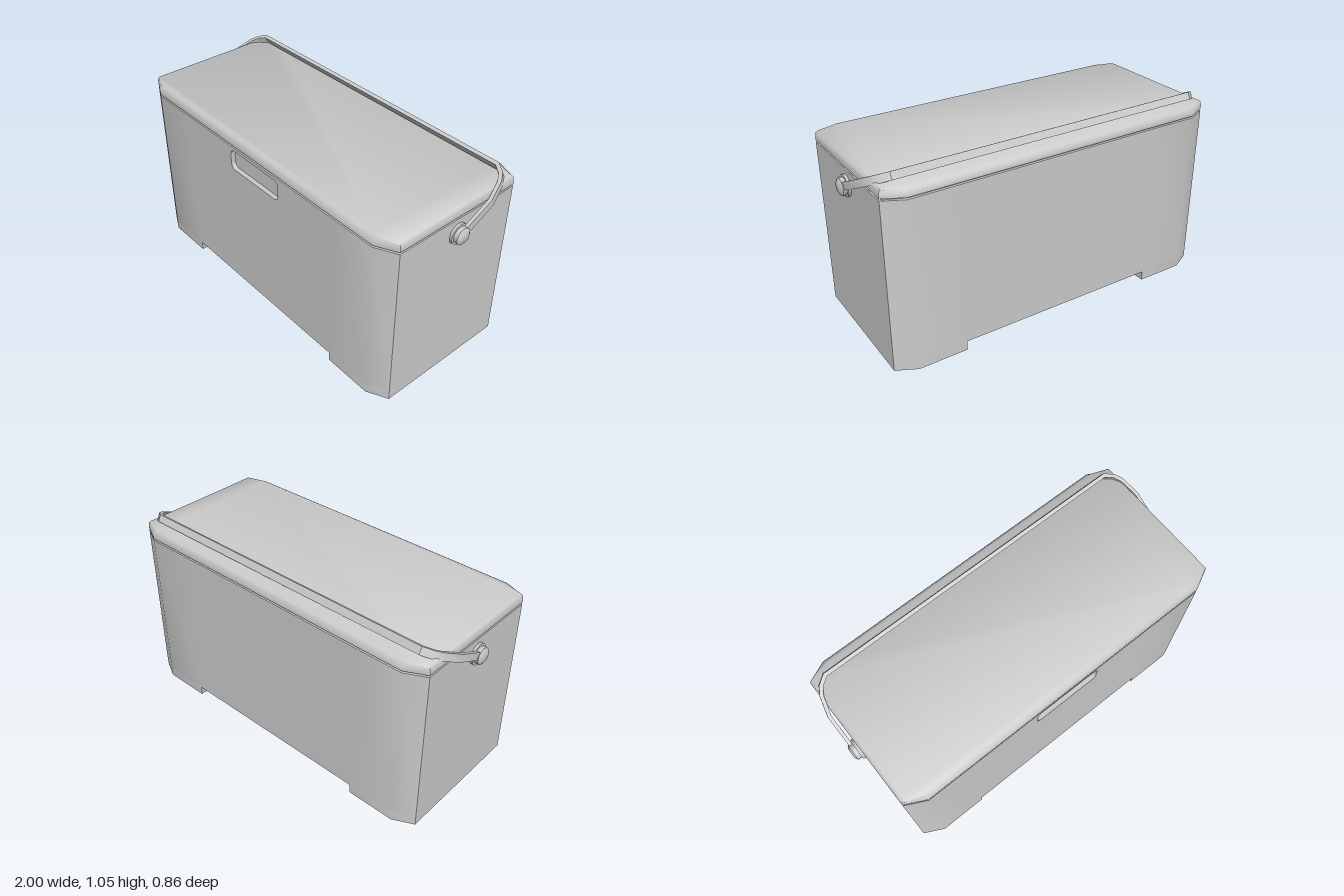
import * as THREE from 'three';
import { toCreasedNormals } from 'three/addons/utils/BufferGeometryUtils.js';

const material = new THREE.MeshStandardMaterial({ color: 0xcccccc });

function addMesh(parent, name, geometry, crease = 0.6) {
  const mesh = new THREE.Mesh(toCreasedNormals(geometry, crease), material);
  mesh.name = name;
  parent.add(mesh);
  return mesh;
}

const toShape = (points) => new THREE.Shape(points.map(([x, y]) => new THREE.Vector2(x, y)));

// Extrude a plan outline given as [x, z] upwards from y0 to y1
function extrudePlan(points, y0, y1) {
  const shape = toShape(points.map(([x, z]) => [x, -z]));
  return new THREE.ExtrudeGeometry(shape, { depth: y1 - y0, bevelEnabled: false })
    .rotateX(-Math.PI / 2).translate(0, y0, 0);
}

function roundedPath(w, h, r) {
  const path = new THREE.Path();
  [[1, 1, 0], [-1, 1, 1], [-1, -1, 2], [1, -1, 3]].forEach(([sx, sy, q]) =>
    path.absarc(sx * (w / 2 - r), sy * (h / 2 - r), r, q * Math.PI / 2, (q + 1) * Math.PI / 2));
  return path;
}

// Octagonal plan: half width, half depth, corner starts
const octagon = (hx, hz, cx, cz) => [
  [cx, hz], [hx, cz], [hx, -cz], [cx, -hz], [-cx, -hz], [-hx, -cz], [-hx, cz], [-cx, hz],
];

// Stack of octagonal rings [y, hx, hz, cx, cz], capped at both ends
function loftRings(rings) {
  const pos = [], idx = [], n = 8;
  rings.forEach(([y, ...dims]) => octagon(...dims).forEach(([x, z]) => pos.push(x, y, z)));
  for (let r = 0; r < rings.length - 1; r++) {
    for (let i = 0; i < n; i++) {
      const a = r * n + i, b = r * n + (i + 1) % n;
      idx.push(a, b, b + n, a, b + n, a + n);
    }
  }
  const top = (rings.length - 1) * n;
  for (let i = 1; i < n - 1; i++) {
    idx.push(0, i + 1, i, top, top + i, top + i + 1);
  }
  const geometry = new THREE.BufferGeometry();
  geometry.setAttribute('position', new THREE.Float32BufferAttribute(pos, 3));
  geometry.setIndex(idx);
  return geometry;
}

export function createModel() {
  const model = new THREE.Group();
  model.name = 'coolBox';
  const HX = 0.955, HZ = 0.43, CX = 0.845, CZ = 0.375;
  const FOOT_X = 0.575, FLOOR = 0.052, RIM = 0.938;

  // Body, with a slot in the front that the recessed panel fills
  const slotX = 0.25, slotZ = HZ - 0.025;
  const plan = [
    ...octagon(HX, HZ, CX, CZ), [-FOOT_X, HZ], [-slotX, HZ], [-slotX, slotZ],
    [slotX, slotZ], [slotX, HZ], [FOOT_X, HZ],
  ];
  plan.splice(4, 0, [FOOT_X, -HZ], [-FOOT_X, -HZ]);
  addMesh(model, 'body', extrudePlan(plan, FLOOR, RIM));

  // Front panel with a rounded finger recess
  const midY = (FLOOR + RIM) / 2, halfH = (RIM - FLOOR) / 2;
  const panel = toShape([[-slotX, -halfH], [slotX, -halfH], [slotX, halfH], [-slotX, halfH]]);
  const recess = roundedPath(0.38, 0.115, 0.03).getPoints(5).map((p) => p.add(new THREE.Vector2(0, 0.86 - midY)));
  panel.holes.push(new THREE.Path(recess));
  const panelGeometry = new THREE.ExtrudeGeometry(panel, { depth: HZ - slotZ, bevelEnabled: false });
  addMesh(model, 'frontRecessPanel', panelGeometry.translate(0, midY, slotZ));

  // Feet at both ends
  for (const s of [1, -1]) {
    const foot = [[FOOT_X, HZ], [CX, HZ], [HX, CZ], [HX, -CZ], [CX, -HZ], [FOOT_X, -HZ]];
    addMesh(model, s > 0 ? 'leftFoot' : 'rightFoot', extrudePlan(foot.map(([x, z]) => [s * x, z]), 0, FLOOR));
  }

  // Shadow gap and lid
  addMesh(model, 'lidSeal', extrudePlan(octagon(HX - 0.014, HZ - 0.014, CX - 0.01, CZ - 0.005), RIM - 0.005, 0.952));
  addMesh(model, 'lid', loftRings([
    [0.948, HX, HZ, CX, CZ],
    [0.966, HX, HZ, CX, CZ],
    [0.988, 0.95, 0.416, 0.837, 0.374],
    [0.998, 0.94, 0.4, 0.83, 0.368],
  ]), 0.9);

  // Swing handle: flat strip bent round the lid, tilted to the back
  const handle = new THREE.Group();
  handle.name = 'handle';
  handle.position.y = 0.855;
  model.add(handle);
  const outer = [[0.986, 0], [0.986, 0.21], [0.957, 0.315], [0.93, 0.358], [0.88, 0.393]];
  const inner = [[0.968, 0], [0.968, 0.207], [0.94, 0.306], [0.916, 0.344], [0.874, 0.373]];
  const right = [...outer, ...inner.slice().reverse()];
  const mirror = (pts) => pts.map(([x, y]) => [-x, y]);
  const strip = toShape([...outer, ...mirror(outer).reverse(), ...mirror(inner), ...inner.slice().reverse()]);
  const stripGeometry = new THREE.ExtrudeGeometry(strip, { depth: 0.04, bevelEnabled: false });
  addMesh(handle, 'handleStrip', stripGeometry.translate(0, 0, -0.02).rotateX(-1.108));

  // Pivots: base disc and bevelled cap on each side
  const profile = [
    [0, 0.945], [0.057, 0.945], [0.057, 0.969], [0.045, 0.969],
    [0.045, 0.99], [0.028, 1], [0, 1],
  ].map(([r, x]) => new THREE.Vector2(r, x));
  for (const s of [1, -1]) {
    const pivot = new THREE.LatheGeometry(profile, 12).rotateZ(-s * Math.PI / 2);
    addMesh(handle, s > 0 ? 'leftPivot' : 'rightPivot', pivot);
  }
  return model;
}
